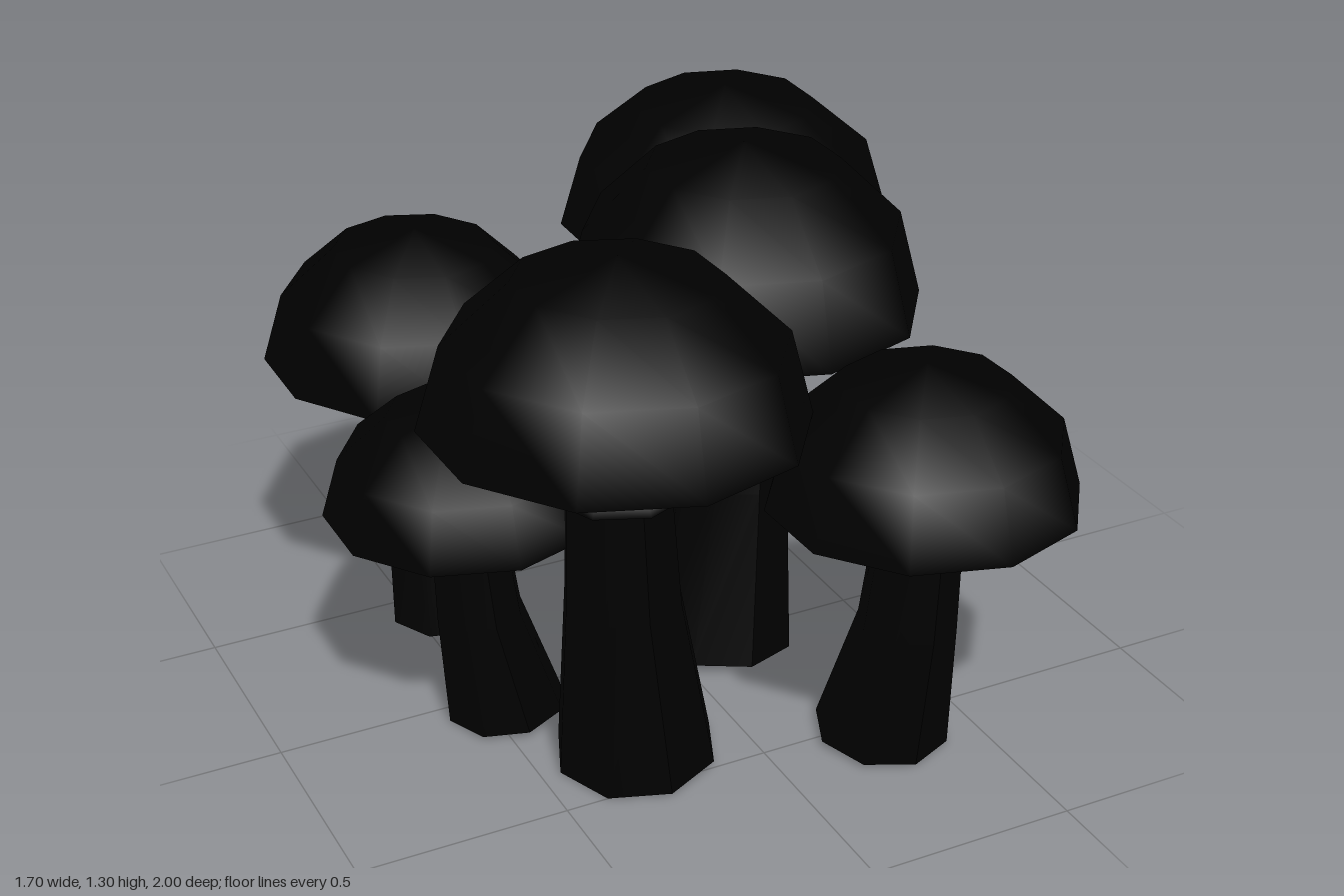
import * as THREE from 'three';

const material = new THREE.MeshStandardMaterial({ color: 0x000000 });

// cap centre x/z, cap radius, rim height, cap height, cap tilt, stalk base x/z
const MUSHROOMS = [
  { x: 0.193, z: 0, r: 0.425, rim: 0.905, dome: 0.4, tilt: 0, bx: 0.135, bz: 0 },
  { x: -0.33, z: 0.415, r: 0.428, rim: 0.905, dome: 0.38, tilt: 0.04, bx: -0.265, bz: 0.365 },
  { x: 0.45, z: -0.58, r: 0.42, rim: 0.86, dome: 0.35, tilt: 0.03, bx: 0.395, bz: -0.505 },
  { x: 0.305, z: 0.645, r: 0.355, rim: 0.678, dome: 0.322, tilt: 0.03, bx: 0.288, bz: 0.542 },
  { x: -0.455, z: -0.443, r: 0.362, rim: 0.718, dome: 0.325, tilt: 0.03, bx: -0.4, bz: -0.405 },
  { x: -0.545, z: 0.065, r: 0.32, rim: 0.578, dome: 0.272, tilt: 0, bx: -0.46, bz: 0.06 },
];

// Stalk offset and flare: 1 at the foot, a kink halfway, 0 at the cap
const bendAt = (t) => (t < 0.5 ? 1 - 1.4 * t : 0.6 * (1 - t));

function lathe(name, profile, scale, sides) {
  const pts = profile.map(([r, y]) => new THREE.Vector2(r * scale, y));
  const mesh = new THREE.Mesh(new THREE.LatheGeometry(pts, sides), material);
  mesh.name = name;
  return mesh;
}

// Kinked stalk, flared and slightly tilted at the foot
function makeStalk(m, lean) {
  const geo = new THREE.CylinderGeometry(1, 1, 1, 8, 2);
  const pos = geo.attributes.position;
  for (let i = 0; i < pos.count; i++) {
    const t = pos.getY(i) + 0.5;
    const bend = bendAt(t);
    const radius = m.r * (0.27 + 0.175 * bend);
    const dx = pos.getX(i) * radius;
    const dz = pos.getZ(i) * radius;
    const foot = (1 - t) * (0.017 - 0.08 * (dx * lean.x + dz * lean.z));
    pos.setXYZ(i, (m.bx - m.x) * bend + dx, t * m.rim + foot, (m.bz - m.z) * bend + dz);
  }
  geo.computeVertexNormals();
  const mesh = new THREE.Mesh(geo, material);
  mesh.name = 'stalk';
  return mesh;
}

function makeMushroom(m) {
  const group = new THREE.Group();
  group.name = 'mushroom';
  group.position.set(m.x, 0, m.z);

  const lean = new THREE.Vector3(m.x - m.bx, 0, m.z - m.bz).normalize();
  group.add(makeStalk(m, lean));

  // Domed cap with a softly rounded underside, outer rim raised a little
  const cap = lathe('cap', [
    [0.2, -0.02 * m.r], [0.4, -0.095 * m.r], [0.8, -0.08 * m.r], [1, 0],
    [0.875, 0.51 * m.dome], [0.53, 0.87 * m.dome], [0, m.dome],
  ], m.r, 10);
  cap.position.y = m.rim;
  cap.setRotationFromAxisAngle(new THREE.Vector3(-lean.z, 0, lean.x), m.tilt);
  group.add(cap);

  // Skirt ring around the stalk
  const ring = lathe('stalkRing', [
    [0.2, -0.04], [0.3, -0.045], [0.38, -0.02], [0.36, 0.03], [0.29, 0.05], [0.2, 0.07],
  ].map(([r, y]) => [r, y * m.r]), m.r, 8);
  const t = 0.835;
  ring.position.set((m.bx - m.x) * bendAt(t), m.rim * t, (m.bz - m.z) * bendAt(t));
  group.add(ring);
  return group;
}

export function createModel() {
  const model = new THREE.Group();
  model.name = 'mushroomCluster';
  for (const m of MUSHROOMS) model.add(makeMushroom(m));
  return model;
}
